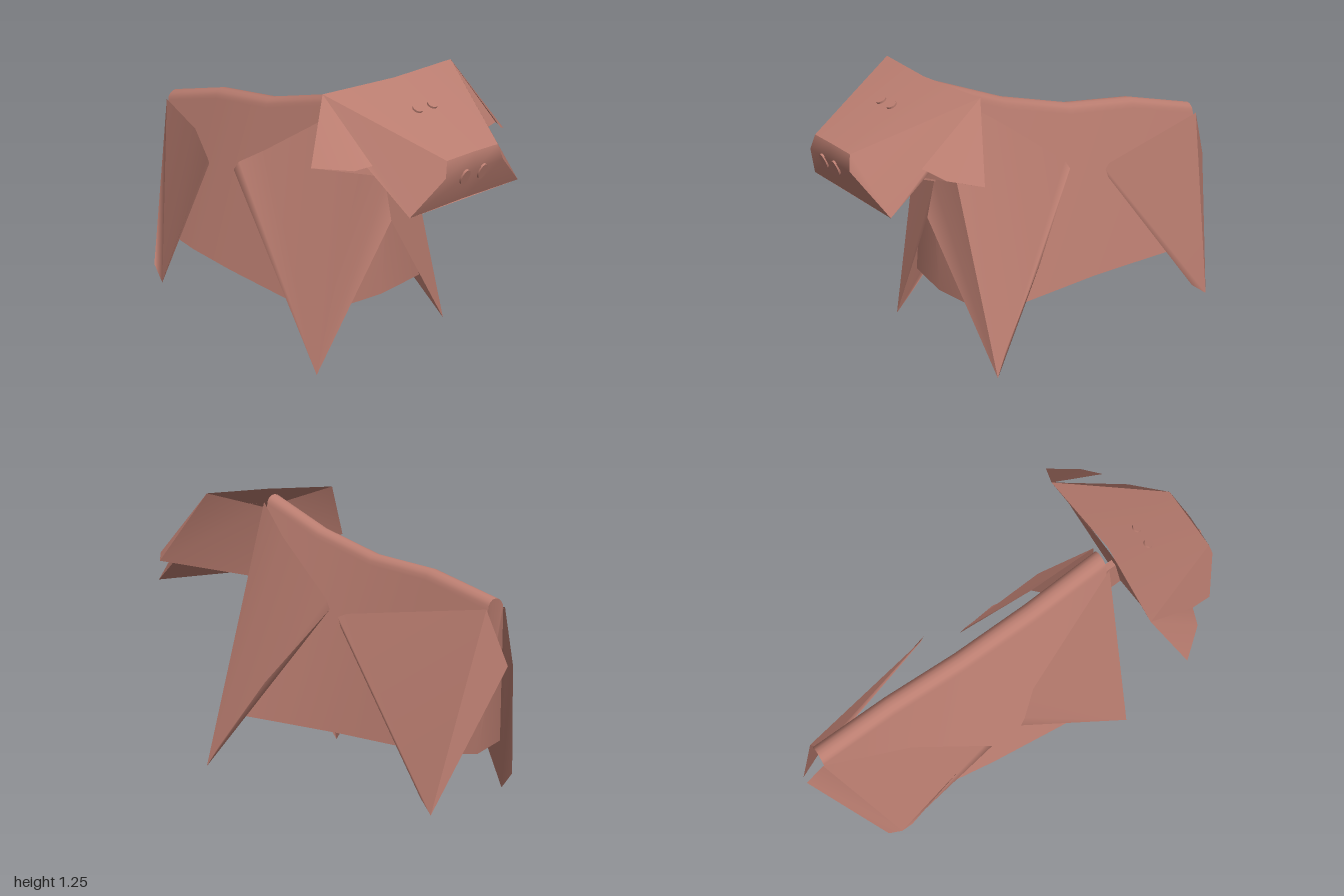
import * as THREE from 'three';

const clay = new THREE.MeshStandardMaterial({ color: 0xba7d70, side: THREE.DoubleSide });
clay.name = 'clay paper';

function surface(name, points, index) {
  const g = new THREE.BufferGeometry();
  g.setAttribute('position', new THREE.Float32BufferAttribute(points.flat(), 3));
  g.setIndex(index);
  g.computeVertexNormals();
  const m = new THREE.Mesh(g, clay);
  m.name = name;
  return m;
}

// Folded sheet: each polygon is fanned from its first corner, smooth inside, creased between polygons
function sheet(name, ...polygons) {
  const points = [], index = [];
  for (const p of polygons) {
    const s = points.length;
    points.push(...p);
    for (let i = 1; i < p.length - 1; i++) index.push(s, s + i, s + i + 1);
  }
  return surface(name, points, index);
}

// Smooth skin over rows of points
function loft(name, rows) {
  const n = rows[0].length, index = [];
  for (let i = 0; i < rows.length - 1; i++) {
    for (let j = 0; j < n - 1; j++) {
      const a = i * n + j, b = a + n;
      index.push(a, a + 1, b, a + 1, b + 1, b);
    }
  }
  return surface(name, rows.flat(), index);
}

// One cross-section of the body: straight sides and a rounded ridge
function section([z, y, left, right, zBottom]) {
  const r = 0.045, pts = [[left, 0.235, zBottom]];
  for (let i = 0; i <= 8; i++) {
    const a = Math.PI * (1 - i / 8);
    pts.push([-0.03 + r * Math.cos(a), y - r + r * Math.sin(a), z]);
  }
  pts.push([right, 0.235, zBottom]);
  return pts;
}

// Thin raised oval lying on a sheet
function oval(name, x, y, z, rx, ry, tilt) {
  const g = new THREE.CylinderGeometry(1, 1, 0.009, 24);
  g.rotateX(Math.PI / 2);
  g.scale(rx, ry, 1);
  const m = new THREE.Mesh(g, clay);
  m.name = name;
  m.position.set(x, y, z);
  m.rotation.x = tilt;
  return m;
}

export function createModel() {
  const model = new THREE.Group();
  model.name = 'foldedPaperAnimal';

  // Hollow body, open underneath
  const rows = [
    [0.50, 1.225, -0.33, 0.29, 0.42],
    [0.15, 1.09, -0.32, 0.25, 0.15],
    [-0.20, 1.00, -0.30, 0.20, -0.20],
    [-0.55, 0.965, -0.27, 0.18, -0.50],
    [-0.91, 0.875, -0.22, 0.165, -0.77],
  ].map(section);
  model.add(loft('body', rows));
  model.add(sheet('chest', [[-0.02, 0.26, 0.49], ...rows[0].slice().reverse()]));
  model.add(sheet('rump', [[-0.03, 0.215, -0.82], ...rows[4]]));

  // Each leg: an end panel creased to a large side flap
  const point = [-0.02, 0.615, 0.54], notch = [-0.02, 0.77, 0.503];
  const legs = [
    { name: 'frontLegLeft', end: [point, notch], top: [0.03, 1.19, 0.505], foot: [0.41, 0, 0.465],
      flap: [[0.105, 1.05, 0.28], [0.145, 0.80, -0.07], [0.15, 0.76, -0.095], [0.30, 0.42, 0.17], [0.38, 0.11, 0.40]] },
    { name: 'frontLegRight', end: [point, notch], top: [-0.09, 1.19, 0.505], foot: [-0.405, 0, 0.49],
      flap: [[-0.27, 0.86, 0.02], [-0.345, 0.80, -0.07], [-0.355, 0.76, -0.095], [-0.355, 0.5, 0.1], [-0.39, 0.11, 0.40]] },
    { name: 'hindLegLeft', end: [[-0.01, 0.61, -1.0]], top: [0.03, 0.835, -0.915], foot: [0.25, 0.005, -0.83],
      flap: [[0.205, 0.765, -0.27], [0.225, 0.75, -0.235], [0.225, 0.71, -0.25], [0.235, 0.06, -0.755]] },
    { name: 'hindLegRight', end: [[-0.295, 0.08, -0.775], [-0.04, 0.61, -1.0]], top: [-0.08, 0.835, -0.915], foot: [-0.30, 0.005, -0.71],
      flap: [[-0.2, 0.80, -0.55], [-0.35, 0.765, -0.28], [-0.365, 0.75, -0.25], [-0.335, 0.6, -0.38], [-0.315, 0.08, -0.66]] },
  ];
  for (const { name, end, top, foot, flap } of legs) {
    model.add(sheet(name, [foot, ...end, top], [foot, top, ...flap]));
  }

  // Head: hollow folded mask
  const head = new THREE.Group();
  head.name = 'head';
  const P1 = [-0.39, 1.245, 0.505], P2 = [0.36, 1.245, 0.505], topMid = [-0.02, 1.248, 0.54];
  const Q1 = [-0.17, 1.035, 0.98], Q2 = [0.13, 1.035, 0.98];
  const S1 = [-0.19, 0.97, 0.995], S2 = [0.15, 0.97, 0.995];
  const R1 = [-0.31, 0.815, 0.92], R2 = [0.34, 0.815, 0.92];
  const N1 = [-0.365, 1.0, 0.72], N2 = [0.33, 1.0, 0.69];
  head.add(sheet('face', [topMid, P1, Q1, Q2, P2]));
  head.add(loft('muzzle', [
    [Q1, [-0.02, 1.04, 0.985], Q2],
    [S1, [-0.02, 0.97, 1.0], S2],
    [R1, [-0.02, 0.828, 0.935], R2],
  ]));
  head.add(sheet('cheeks', [R1, S1, Q1, P1, N1], [R2, N2, P2, Q2, S2]));
  head.add(sheet('jaw', [R1, N1, N2, R2]));

  // Ears and the back sheet joining them
  const T1 = [-0.55, 1.0, 0.61], T2 = [0.55, 0.945, 0.61];
  head.add(sheet('earRight', [P1, T1, [-0.44, 0.995, 0.74], [-0.365, 1.005, 0.765]]));
  head.add(sheet('earLeft', [P2, T2, [0.46, 0.968, 0.73], [0.37, 1.005, 0.79]]));
  const V = [-0.02, 0.825, 0.625], M = [-0.02, 1.16, 0.56];
  head.add(sheet('headBack', [M, V, T2, P2], [M, P1, T1, V]));

  // Eyes and nostrils
  for (const x of [-0.067, 0.019]) head.add(oval('eye', x, 1.165, 0.72, 0.021, 0.022, -1.12));
  for (const x of [-0.075, 0.028]) head.add(oval('nostril', x, 0.948, 0.992, 0.024, 0.036, 0.35));
  model.add(head);

  // Narrow neck strut between chest and head
  const shape = new THREE.Shape([[0.47, 0.765], [0.63, 0.82], [0.60, 1.05], [0.47, 1.02]]
    .map(([z, y]) => new THREE.Vector2(-z, y)));
  const neckGeo = new THREE.ExtrudeGeometry(shape, { depth: 0.03, bevelEnabled: false });
  neckGeo.rotateY(Math.PI / 2);
  const neck = new THREE.Mesh(neckGeo, clay);
  neck.name = 'neck';
  neck.position.x = -0.038;
  model.add(neck);

  return model;
}
